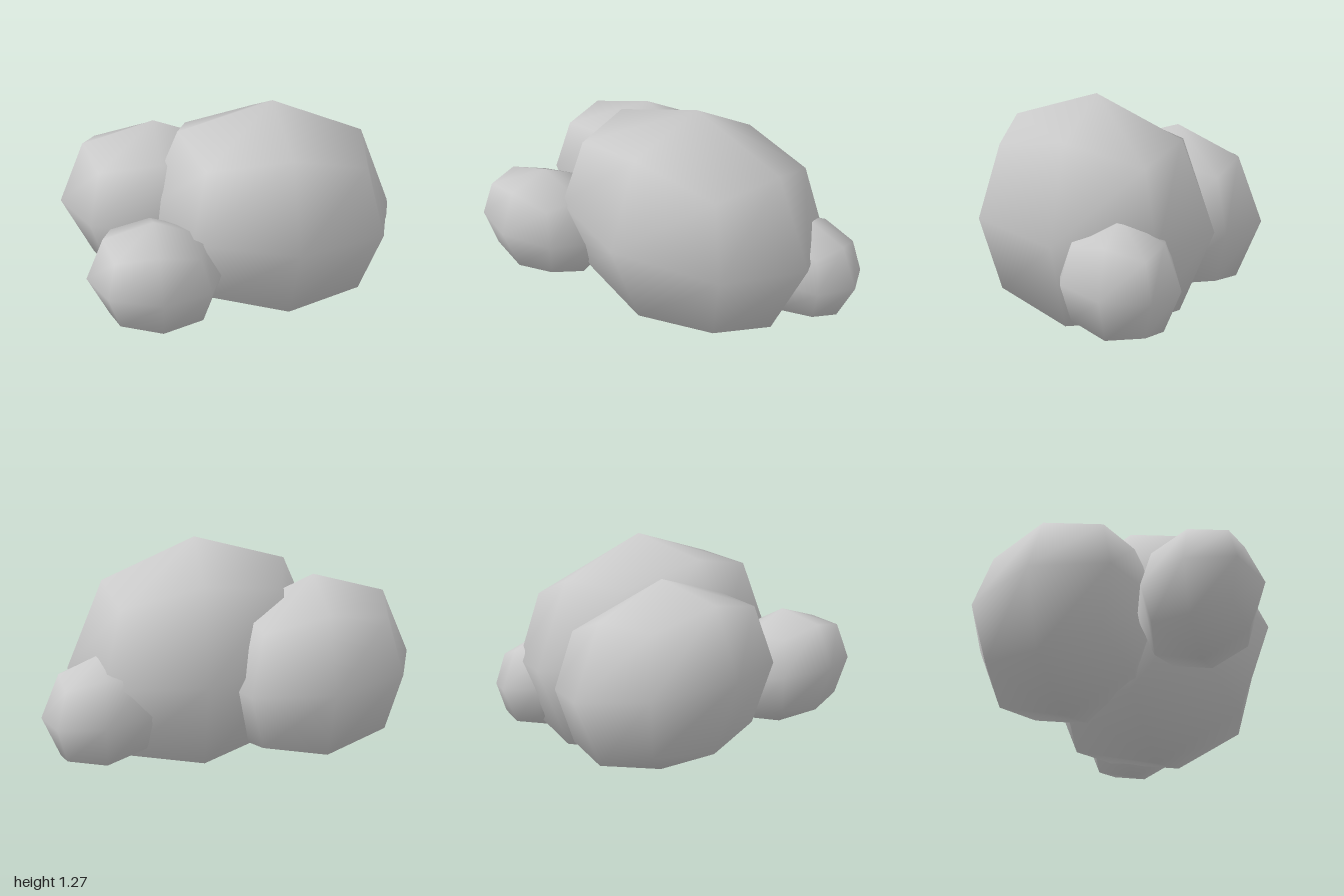
import * as THREE from 'three';
import { mergeVertices } from 'three/addons/utils/BufferGeometryUtils.js';

// Rounded cube with 2 x 2 quads a side, slightly skewed, with smooth normals
function createPuffGeometry() {
  const box = new THREE.BoxGeometry(2, 2, 2, 2, 2, 2);
  box.deleteAttribute('uv');
  box.deleteAttribute('normal');
  const geometry = mergeVertices(box);
  const position = geometry.attributes.position;

  // Pull edges and corners in to a ball: face centre, edge middle, corner
  const reach = [0, 1, 0.722, 0.594];
  const p = new THREE.Vector3();
  for (let i = 0; i < position.count; i++) {
    p.fromBufferAttribute(position, i);
    const axes = Math.round(Math.abs(p.x) + Math.abs(p.y) + Math.abs(p.z));
    p.multiplyScalar(reach[axes]);
    position.setXYZ(i, p.x, p.y, p.z);
  }

  // Stretch and lean shared by all the puffs
  geometry.applyMatrix4(new THREE.Matrix4().makeBasis(
    new THREE.Vector3(0.71, -0.078, 0),
    new THREE.Vector3(0, 0.635, 0),
    new THREE.Vector3(-0.04, 0.085, 0.66),
  ));
  geometry.computeVertexNormals();
  return geometry;
}

export function createModel() {
  const group = new THREE.Group();
  group.name = 'cloud';
  const geometry = createPuffGeometry();
  const material = new THREE.MeshStandardMaterial({ color: 0xcccccc });

  // name, centre, size
  const puffs = [
    ['mainPuff', [0.143, 0.636, 0.038], 1],
    ['backRightPuff', [-0.447, 0.59, -0.28], 0.772],
    ['frontRightPuff', [-0.58, 0.572, 0.455], 0.492],
    ['leftPuff', [0.662, 0.39, -0.248], 0.472],
  ];
  for (const [name, centre, size] of puffs) {
    const puff = new THREE.Mesh(geometry, material);
    puff.name = name;
    puff.position.set(...centre);
    puff.scale.setScalar(size);
    group.add(puff);
  }
  return group;
}
